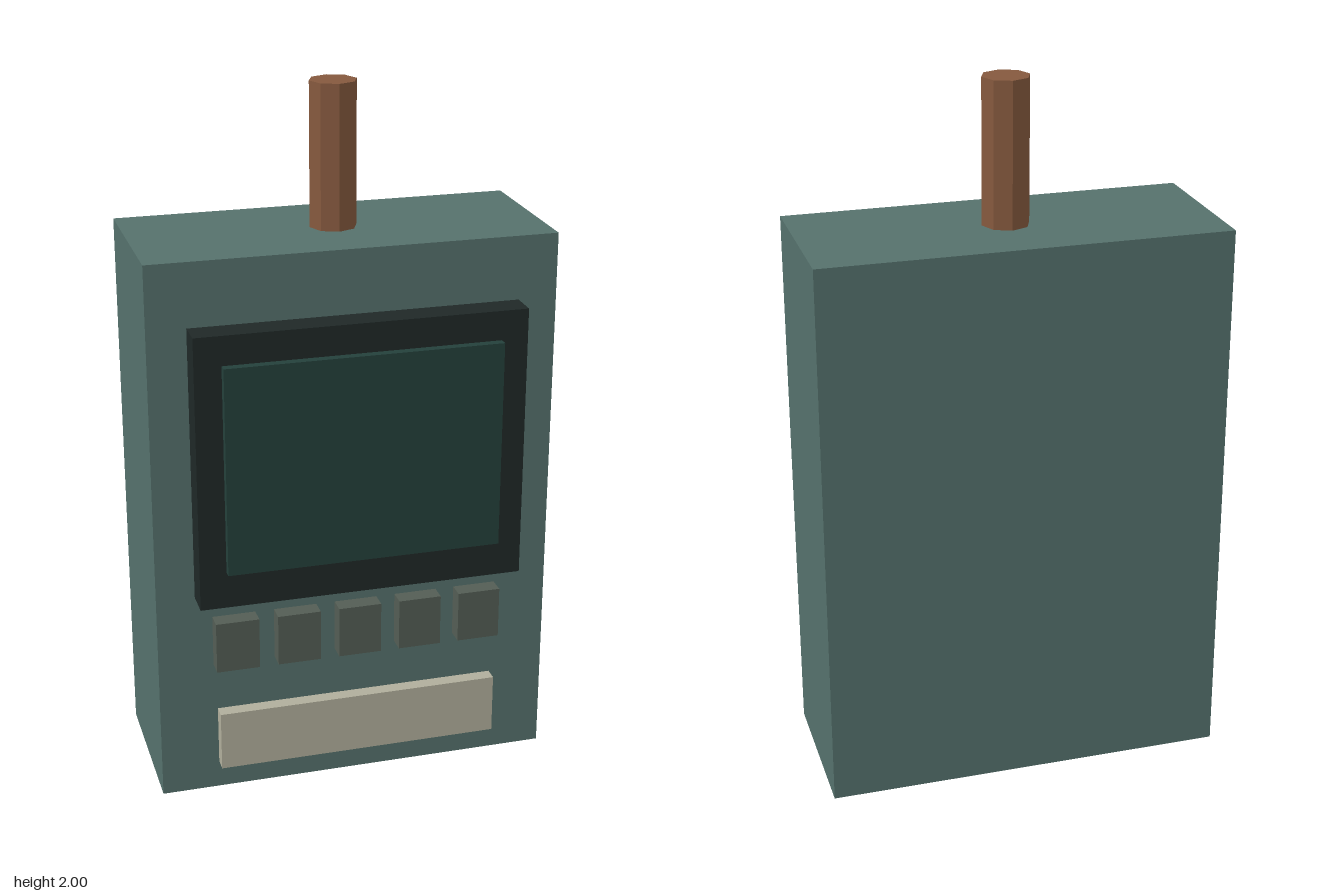
import * as THREE from 'three';

const paint = (color) => new THREE.MeshStandardMaterial({ color, flatShading: true });

// Box given by its [min, max] extent along each axis
function block(name, [x0, x1], [y0, y1], [z0, z1], material) {
  const mesh = new THREE.Mesh(new THREE.BoxGeometry(x1 - x0, y1 - y0, z1 - z0), material);
  mesh.position.set((x0 + x1) / 2, (y0 + y1) / 2, (z0 + z1) / 2);
  mesh.name = name;
  return mesh;
}

export function createModel() {
  const model = new THREE.Group();
  model.name = 'handheldDevice';

  // Casing, screen surround and screen
  model.add(
    block('casing', [-0.575, 0.575], [0, 1.594], [-0.287, 0.18], paint(0x55716c)),
    block('screenBezel', [-0.465, 0.465], [0.62, 1.412], [0.18, 0.262], paint(0x1f2827)),
    block('screen', [-0.39, 0.39], [0.728, 1.328], [0.255, 0.287], paint(0x24403b)),
  );

  // Row of five buttons
  const buttons = new THREE.Group();
  buttons.name = 'buttons';
  const buttonPaint = paint(0x535d54);
  for (let i = 0; i < 5; i++) {
    const x = (i - 2) * 0.178;
    buttons.add(block(`button${i + 1}`, [x - 0.062, x + 0.062], [0.405, 0.556], [0.185, 0.235], buttonPaint));
  }
  model.add(buttons);

  // Pale plate along the bottom
  model.add(block('labelPlate', [-0.41, 0.41], [0.088, 0.264], [0.19, 0.23], paint(0xb0ae9b)));

  // Eight-sided aerial
  const antenna = new THREE.Mesh(new THREE.CylinderGeometry(0.067, 0.067, 0.41, 8), paint(0x85593e));
  antenna.name = 'antenna';
  antenna.position.set(0, 1.795, -0.055);
  model.add(antenna);

  return model;
}
